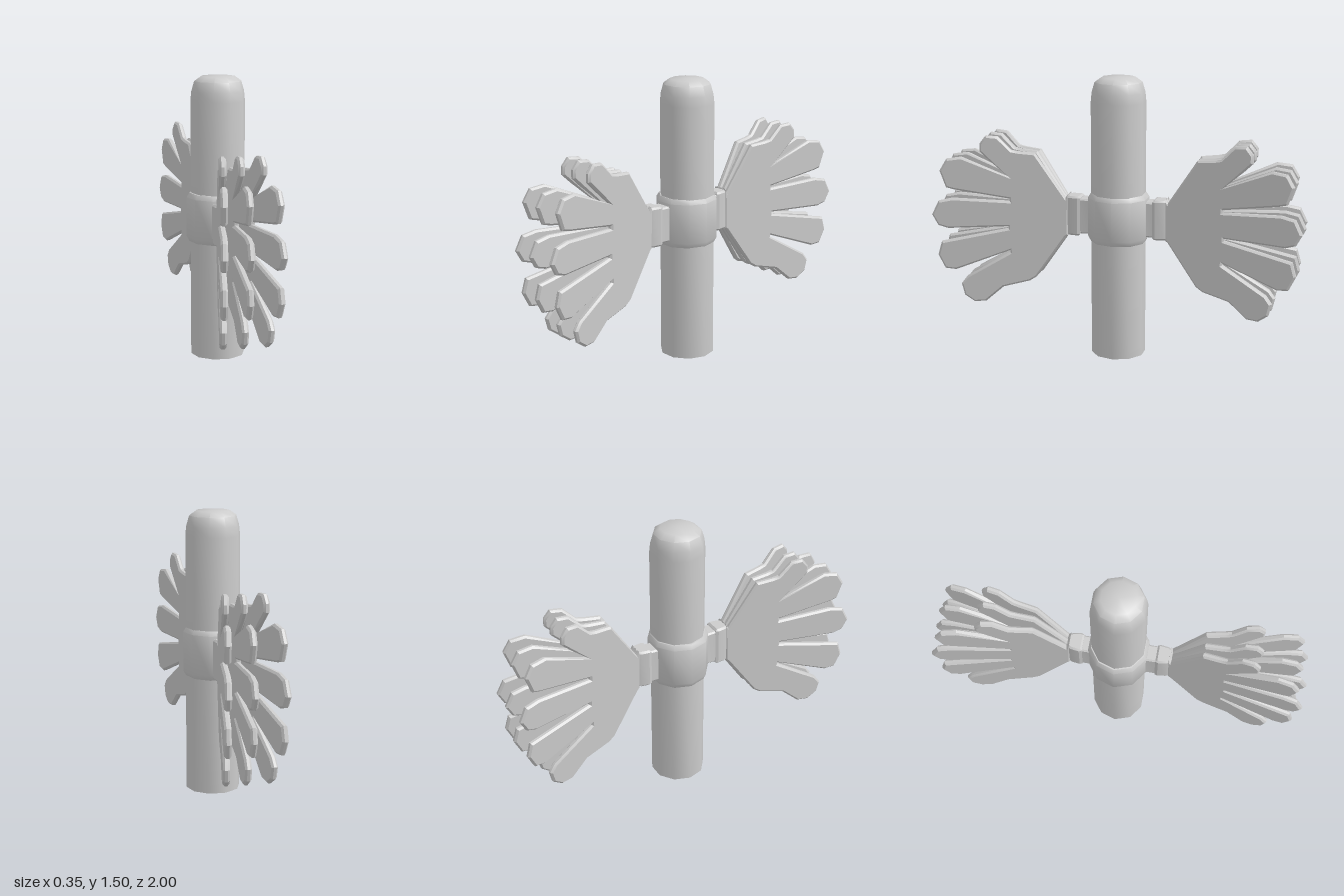
import * as THREE from 'three';
import { toCreasedNormals } from 'three/addons/utils/BufferGeometryUtils.js';

const material = new THREE.MeshStandardMaterial({ color: 0xcccccc });
const toVectors = (points) => points.map(([x, y]) => new THREE.Vector2(x, y));

function addMesh(parent, name, geometry, crease) {
  const mesh = new THREE.Mesh(toCreasedNormals(geometry, crease), material);
  mesh.name = name;
  parent.add(mesh);
  return mesh;
}

// Ten-sided turned part
const turned = (profile) => new THREE.LatheGeometry(toVectors(profile), 10, Math.PI / 2);

// Bevelled slab whose outer size matches the outline, centred on its thickness
function slab(outline, thickness, bevel) {
  const geometry = new THREE.ExtrudeGeometry(new THREE.Shape(toVectors(outline)), {
    depth: thickness - 2 * bevel,
    bevelEnabled: true,
    bevelThickness: bevel,
    bevelSize: bevel,
    bevelOffset: -bevel,
    bevelSegments: 1,
  });
  return geometry.translate(0, 0, bevel - thickness / 2);
}

// Hand outline: distance from the pole, height
const HAND = [
  [0.265, 0.64], [0.278, 0.631],
  // little finger
  [0.438, 0.406], [0.475, 0.382], [0.62, 0.345], [0.717, 0.262], [0.781, 0.257],
  [0.834, 0.294], [0.85, 0.358], [0.818, 0.401], [0.58, 0.54],
  // ring finger
  [0.58, 0.551], [0.877, 0.438], [0.936, 0.444], [0.973, 0.519], [0.952, 0.594],
  [0.877, 0.61], [0.588, 0.672],
  // middle finger
  [0.588, 0.684], [0.914, 0.668], [0.968, 0.684], [1.0, 0.743], [0.963, 0.818],
  [0.888, 0.834], [0.578, 0.822],
  // index finger
  [0.578, 0.836], [0.877, 0.882], [0.92, 0.893], [0.952, 0.984], [0.914, 1.048],
  [0.834, 1.059], [0.578, 0.952],
  // thumb
  [0.684, 1.043], [0.733, 1.09], [0.733, 1.134], [0.7, 1.176], [0.636, 1.171],
  [0.565, 1.1], [0.53, 1.093], [0.438, 1.085],
  [0.278, 0.845], [0.265, 0.865],
];

// Fan of three hands: sideways offset at the wrist, angle in degrees
const FAN = [[-0.026, -8], [0, 0], [0.03, 10]];
const WRIST = 0.265;

function createArm(name) {
  const arm = new THREE.Group();
  arm.name = name;

  // Bracket from the collar to the wrists
  const neck = slab([[-0.055, 0.1], [0.055, 0.1], [0.045, 0.16], [0.045, 0.21],
    [-0.045, 0.21], [-0.045, 0.16]], 0.19, 0.008);
  addMesh(arm, 'bracketNeck', neck.rotateX(Math.PI / 2), 0.5).position.y = 0.75;
  const block = slab([[-0.046, 0.195], [0.046, 0.195], [0.052, 0.21], [0.046, 0.255],
    [0.034, 0.275], [-0.034, 0.275], [-0.046, 0.255], [-0.052, 0.21]], 0.215, 0.01);
  addMesh(arm, 'bracketBlock', block.rotateX(Math.PI / 2), 0.5).position.y = 0.75;

  // Clapping hands
  for (const [offset, degrees] of FAN) {
    const outline = HAND.map(([reach, height]) => [reach - WRIST, height]);
    const hand = addMesh(arm, 'hand', slab(outline, 0.034, 0.01), 0.5);
    hand.position.set(offset, 0, WRIST);
    hand.rotation.y = THREE.MathUtils.degToRad(degrees) - Math.PI / 2;
  }
  return arm;
}

export function createModel() {
  const model = new THREE.Group();
  model.name = 'handClapper';

  // Handle with a rounded top
  const handle = addMesh(model, 'handle', turned([[0, 0], [0.145, 0], [0.145, 1.37],
    [0.14, 1.42], [0.125, 1.472], [0.09, 1.497], [0, 1.5]]), 0.8);
  handle.position.set(0.01, 0, -0.007);

  // Collar around the handle
  const collar = addMesh(model, 'collar', turned([[0.13, 0.62], [0.148, 0.622],
    [0.163, 0.65], [0.163, 0.86], [0.148, 0.884], [0.13, 0.886]]), 0.8);
  collar.position.set(0.006, 0, -0.007);

  // Matching arms, half a turn apart
  const front = createArm('frontArm');
  const back = createArm('backArm');
  back.rotation.y = Math.PI;
  back.position.x = -0.007;
  model.add(front, back);
  return model;
}
